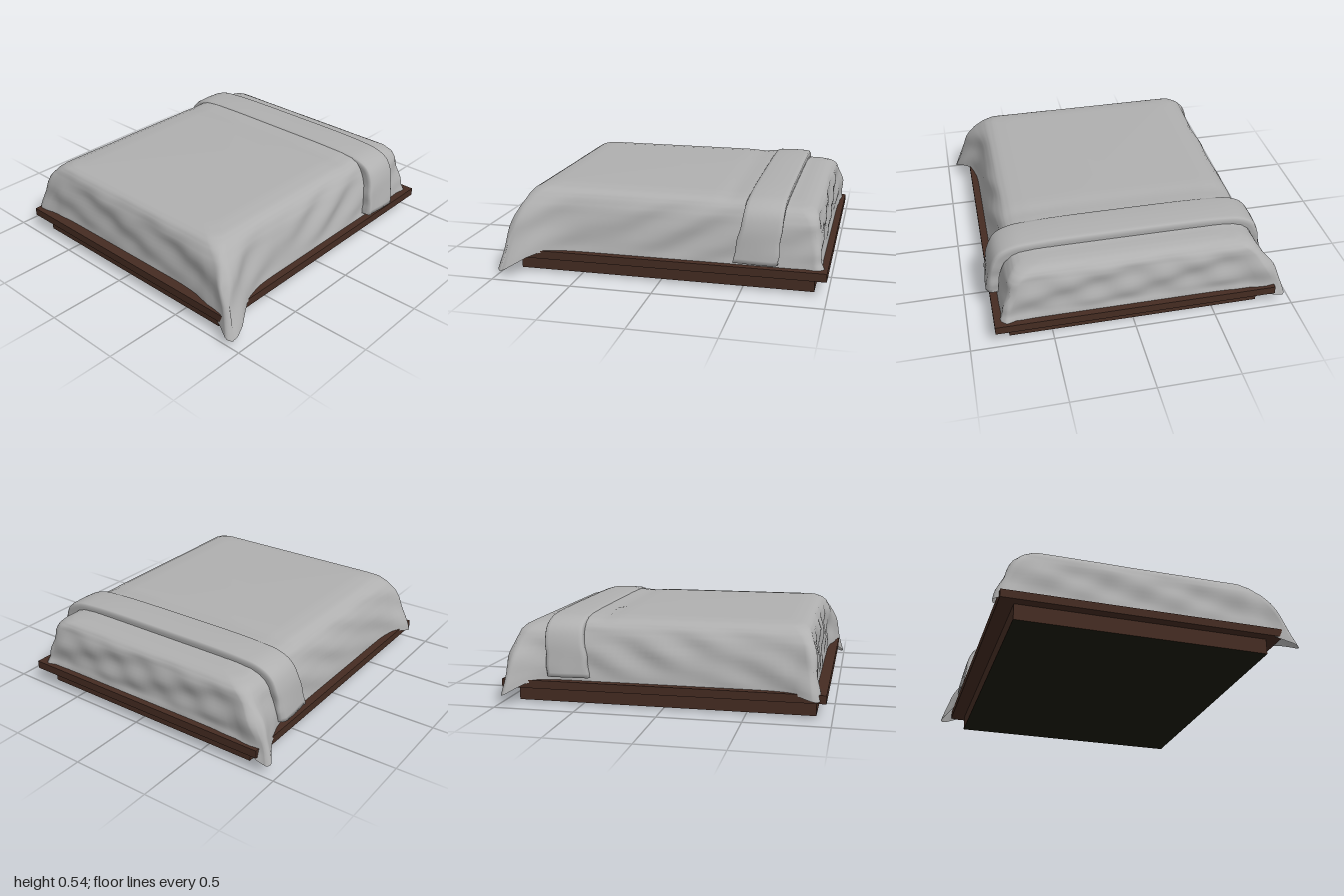
import * as THREE from 'three';

const lerp = THREE.MathUtils.lerp;
const smooth = THREE.MathUtils.smoothstep;

// Skin a list of equally long point rows; wrap closes each row into a ring
function skin(rows, wrap) {
  const n = rows[0].length, pos = rows.flat(2), index = [];
  for (let k = 0; k < rows.length - 1; k++) {
    for (let i = 0; i < (wrap ? n : n - 1); i++) {
      const j = (i + 1) % n;
      const a = k * n + i, b = k * n + j, c = a + n, d = b + n;
      index.push(a, c, b, b, c, d);
    }
  }
  const g = new THREE.BufferGeometry();
  g.setAttribute('position', new THREE.Float32BufferAttribute(pos, 3));
  g.setIndex(index);
  g.computeVertexNormals();
  return g;
}

// Rounded rectangle in the xz plane, always with the same number of points
function ring(x0, x1, z0, z1, r) {
  const pts = [], arc = 8, edge = 44;
  const corners = [[x1 - r, z1 - r], [x0 + r, z1 - r], [x0 + r, z0 + r], [x1 - r, z0 + r]];
  corners.forEach(([cx, cz], q) => {
    for (let i = 0; i <= arc; i++) {
      const a = (q + i / arc) * Math.PI / 2;
      pts.push([cx + r * Math.cos(a), cz + r * Math.sin(a)]);
    }
    const a = (q + 1) * Math.PI / 2, [nx, nz] = corners[(q + 1) % 4];
    const p = pts[pts.length - 1];
    const e = [nx + r * Math.cos(a), nz + r * Math.sin(a)];
    for (let i = 1; i < edge; i++) pts.push([lerp(p[0], e[0], i / edge), lerp(p[1], e[1], i / edge)]);
  });
  return pts;
}

// Bedspread: stacked rings with flared corners, soft folds and a lower pillow end
function bedspreadGeometry() {
  // y, x0, x1, z0, z1, corner radius
  const levels = [
    [0.148, -0.83, 0.80, -0.955, 0.90, 0.05],
    [0.19, -0.825, 0.79, -0.945, 0.895, 0.05],
    [0.25, -0.815, 0.78, -0.945, 0.89, 0.05],
    [0.33, -0.80, 0.765, -0.94, 0.885, 0.06],
    [0.41, -0.775, 0.745, -0.935, 0.88, 0.06],
    [0.46, -0.75, 0.72, -0.925, 0.865, 0.07],
    [0.49, -0.72, 0.695, -0.905, 0.845, 0.08],
    [0.51, -0.67, 0.65, -0.87, 0.81, 0.08],
    [0.52, -0.58, 0.56, -0.82, 0.74, 0.08],
  ];
  // Corner x, z, outward shift x, z, drop of the tip, spread
  const flares = [
    [0.80, 0.90, 0.155, 0.095, 0.12, 0.17],
    [-0.83, 0.90, -0.09, 0.035, 0.04, 0.15],
    [-0.83, -0.955, -0.125, -0.04, 0.09, 0.16],
    [0.80, -0.955, 0.0, -0.015, 0.0, 0.1],
  ];
  // Interpolate the side levels for smoother folds
  const sides = [];
  for (let k = 0; k < levels.length - 1; k++) {
    for (let s = 0; s < 3; s++) sides.push(levels[k].map((v, i) => lerp(v, levels[k + 1][i], s / 3)));
  }
  const last = levels[levels.length - 1];
  sides.push(last);
  const rows = sides.map(([y, x0, x1, z0, z1, r]) => ring(x0, x1, z0, z1, r).map(([x, z]) => {
    const h = Math.max(0, (0.5 - y) / 0.352);
    let dx = 0, dz = 0, dy = 0, near = 0;
    for (const [cx, cz, fx, fz, drop, spread] of flares) {
      const d = Math.hypot(x - (cx > 0 ? x1 : x0), z - (cz > 0 ? z1 : z0));
      const w = Math.exp(-((d / spread) ** 2));
      dx += fx * w * h; dz += fz * w * h;
      dy -= drop * w * w * h ** 3;
      near = Math.max(near, w);
    }
    // Slanting folds push the cloth in and out
    const fold = 0.009 * Math.sin(Math.PI * Math.min(1, h)) *
      (Math.sin(x * 9 + z * 13 + y * 26) + 0.6 * Math.sin(x * 23 - z * 19 - y * 17)) + 0.01 * near * h * Math.sin(x * 50 - z * 40);
    const onX = Math.min(x - x0, x1 - x) < Math.min(z - z0, z1 - z);
    if (onX) dx += fold * Math.sign(x); else dz += fold * Math.sign(z);
    return [x + dx, y + dy, z + dz];
  }));
  // Top surface closes towards the middle
  const rim = ring(...last.slice(1));
  for (let s = 0.95; s > -0.01; s -= 0.05) {
    rows.push(rim.map(([x, z]) => [x * s, 0.52 + 0.008 * (1 - s * s), z * s]));
  }
  for (const row of rows) {
    for (const p of row) {
      const low = 1 - smooth(p[2], -0.74, -0.6);
      const dip = 0.007 * Math.exp(-(((p[2] + 0.4) / 0.06) ** 2)) * smooth(p[1], 0.46, 0.52);
      if (p[1] > 0.15) p[1] = 0.15 + (p[1] - 0.15) * (1 - 0.1 * low) - dip;
    }
  }
  return skin(rows, true);
}

// Folded runner: a puffy strip draped over the bed from side to side
function runnerGeometry() {
  const half = [[0.855, 0.175], [0.85, 0.25], [0.825, 0.38], [0.78, 0.465], [0.70, 0.508], [0.55, 0.526]];
  const pts = [
    ...half.map(([x, y]) => new THREE.Vector3(-x - 0.015, y, 0)),
    new THREE.Vector3(0, 0.533, 0),
    ...half.slice().reverse().map(([x, y]) => new THREE.Vector3(x, y, 0)),
  ];
  const curve = new THREE.CatmullRomCurve3(pts, false, 'centripetal');
  // Position across the strip and height of the padding
  const profile = [[0.02, -0.065], [0, -0.03], [0, -0.012], [0.03, -0.002], [0.12, 0.003],
    [0.5, 0.006], [0.88, 0.003], [0.97, -0.002], [1, -0.012], [1, -0.03], [0.98, -0.065]];
  const rows = [], steps = 90;
  for (let j = -1; j <= steps + 1; j++) {
    const u = THREE.MathUtils.clamp(j / steps, 0, 1);
    const end = j < 0 || j > steps;
    const p = curve.getPointAt(u), t = curve.getTangentAt(u);
    const rise = smooth(p.y, 0.18, 0.5);
    const wave = 0.005 * (1 - rise) * Math.sin(p.y * 45);
    const zF = lerp(-0.455, -0.5, rise) + wave, zB = lerp(-0.715, -0.735, rise) + wave;
    rows.push(profile.map(([s, o]) => {
      const ripple = 0.008 * (1 - rise) * Math.sin(s * 14 + p.y * 12) * (o > -0.02 ? 1 : 0);
      const off = end ? -0.065 : o + ripple;
      return [p.x - t.y * off, p.y + t.x * off, lerp(zF, zB, s)];
    }));
  }
  return skin(rows, false);
}

export function createModel() {
  const model = new THREE.Group();
  model.name = 'bed';
  const material = (name, color, side = THREE.FrontSide) => {
    const m = new THREE.MeshStandardMaterial({ color, side });
    m.name = name;
    return m;
  };
  const wood = material('dark brown wood', 0x452c22);
  const underside = material('dark underside', 0x1c1c0c);
  const linen = material('grey linen', 0xb0b0b0, THREE.DoubleSide);

  const add = (name, geometry, mat) => {
    const mesh = new THREE.Mesh(geometry, mat);
    mesh.name = name;
    model.add(mesh);
  };
  const box = (x0, x1, y0, y1, z0, z1) => new THREE.BoxGeometry(x1 - x0, y1 - y0, z1 - z0)
    .translate((x0 + x1) / 2, (y0 + y1) / 2, (z0 + z1) / 2);

  // Bed frame
  add('platform', box(-0.88, 0.845, 0.098, 0.148, -0.995, 0.965), wood);
  // The bottom face of the plinth is unfinished
  add('plinth', box(-0.79, 0.76, 0, 0.098, -0.92, 0.905), [wood, wood, wood, underside, wood, wood]);

  // Bedding
  add('bedspread', bedspreadGeometry(), linen);
  add('foldedRunner', runnerGeometry(), linen);
  return model;
}
